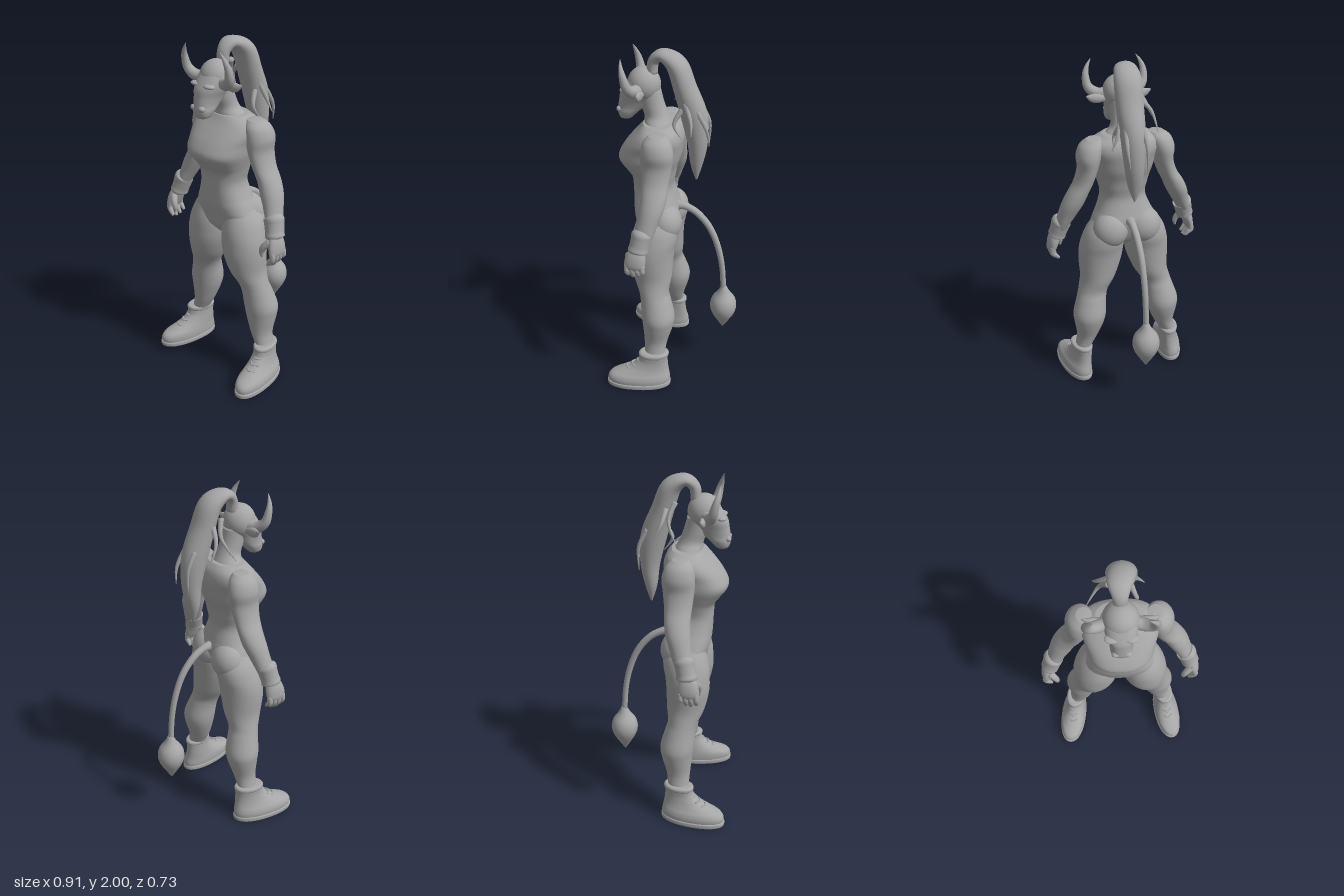
import * as THREE from 'three';

const skinGrey = new THREE.MeshStandardMaterial({ color: 0xa6a6a6 });
skinGrey.name = 'plain grey';

// smooth interpolation through rows of numbers
function smoothRows(rows, steps) {
  const out = [], n = rows.length;
  const at = i => rows[Math.max(0, Math.min(n - 1, i))];
  for (let i = 0; i < n - 1; i++) {
    for (let s = 0; s < steps; s++) {
      const t = s / steps, [a, b, c, d] = [at(i - 1), at(i), at(i + 1), at(i + 2)];
      out.push(b.map((v, k) => v + 0.5 * t * (c[k] - a[k]
        + t * (2 * a[k] - 5 * v + 4 * c[k] - d[k] + t * (3 * (v - c[k]) + d[k] - a[k])))));
    }
  }
  out.push(rows[n - 1].slice());
  return out;
}

// closed skin over rings of points, capped at both ends
function skin(rings) {
  const pos = [], idx = [], n = rings[0].length, last = rings.length - 1;
  for (const r of rings) for (const p of r) pos.push(p.x, p.y, p.z);
  for (let i = 0; i < last; i++) {
    for (let j = 0; j < n; j++) {
      const k = (j + 1) % n, a = i * n + j, b = i * n + k;
      idx.push(a, b, b + n, a, b + n, a + n);
    }
  }
  for (const e of [0, last]) {
    const c = new THREE.Vector3(), ci = pos.length / 3;
    rings[e].forEach(p => c.addScaledVector(p, 1 / n));
    pos.push(c.x, c.y, c.z);
    for (let j = 0; j < n; j++) {
      const a = e * n + j, b = e * n + (j + 1) % n;
      if (e === 0) idx.push(ci, b, a); else idx.push(ci, a, b);
    }
  }
  const g = new THREE.BufferGeometry();
  g.setAttribute('position', new THREE.Float32BufferAttribute(pos, 3));
  g.setIndex(idx);
  g.computeVertexNormals();
  return g;
}

// level rings, lowest first: [y, centre x, half width, front z, back z]
function loft(rows, side = 1, power = 2, sides = 32, shear = 0) {
  const pw = v => Math.sign(v) * Math.abs(v) ** (2 / power);
  return skin(smoothRows(rows, 5).map(([y, cx, hw, zf, zb]) =>
    Array.from({ length: sides }, (_, j) => {
      const t = j / sides * Math.PI * 2;
      const z = (zf + zb) / 2 - pw(Math.sin(t)) * (zf - zb) / 2;
      return new THREE.Vector3(side * (cx + shear * (z - 0.17)) + pw(Math.cos(t)) * hw, y, z);
    })));
}

// rings square to a path: [x, y, z, radius along ref, other radius]
function sweep(rows, side = 1, ref = new THREE.Vector3(1, 0, 0), sides = 16) {
  const r = smoothRows(rows.map(([x, y, z, a, b = a]) => [x * side, y, z, a, b]), 6);
  const p = r.map(q => new THREE.Vector3(q[0], q[1], q[2]));
  return skin(r.map((q, i) => {
    const T = p[Math.min(i + 1, p.length - 1)].clone().sub(p[Math.max(i - 1, 0)]).normalize();
    const S = ref.clone().addScaledVector(T, -ref.dot(T)).normalize();
    const B = T.clone().cross(S);
    return Array.from({ length: sides }, (_, j) => {
      const t = j / sides * Math.PI * 2;
      return p[i].clone().addScaledVector(S, q[3] * Math.cos(t)).addScaledVector(B, q[4] * Math.sin(t));
    });
  }));
}

function ball(x, y, z, rx, ry, rz) {
  return new THREE.SphereGeometry(1, 28, 20).scale(rx, ry, rz).translate(x, y, z);
}

export function createModel() {
  const model = new THREE.Group();
  model.name = 'hornedFigure';
  const add = (name, geo) => {
    const m = new THREE.Mesh(geo, skinGrey);
    m.name = name;
    model.add(m);
  };
  const Z = new THREE.Vector3(0, 0, 1);

  // torso and neck
  add('torso', loft([
    [0.90, 0, 0.05, 0.17, 0.07], [0.95, 0, 0.13, 0.21, 0.03], [1.02, 0, 0.20, 0.225, 0.0],
    [1.08, 0, 0.185, 0.238, -0.015], [1.14, 0, 0.155, 0.242, 0.0], [1.22, 0, 0.13, 0.245, 0.02],
    [1.29, 0, 0.142, 0.252, 0.01], [1.34, 0, 0.158, 0.285, 0.0], [1.40, 0, 0.178, 0.323, -0.02],
    [1.46, 0, 0.187, 0.298, -0.03], [1.52, 0, 0.20, 0.25, -0.035], [1.57, 0, 0.185, 0.205, -0.02],
    [1.605, 0, 0.12, 0.18, 0.01]
  ], 1, 2.4, 48));
  add('neck', loft([
    [1.55, 0, 0.14, 0.17, 0.0], [1.60, 0, 0.105, 0.178, 0.025], [1.64, 0, 0.07, 0.18, 0.045],
    [1.70, 0, 0.064, 0.2, 0.07], [1.78, 0, 0.064, 0.21, 0.09]
  ]));

  // head and muzzle
  add('skull', ball(0, 1.805, 0.18, 0.09, 0.095, 0.09));
  add('muzzle', loft([
    [1.608, 0, 0.03, 0.308, 0.255], [1.62, 0, 0.047, 0.318, 0.24], [1.65, 0, 0.057, 0.326, 0.21],
    [1.68, 0, 0.058, 0.323, 0.175], [1.72, 0, 0.066, 0.316, 0.14], [1.76, 0, 0.08, 0.308, 0.11],
    [1.80, 0, 0.084, 0.285, 0.11], [1.85, 0, 0.07, 0.25, 0.12], [1.88, 0, 0.035, 0.22, 0.14]
  ], 1, 2.3));

  // hair swept up from the crown and falling behind
  add('ponytail', sweep([
    [0, 1.87, 0.135, 0.035, 0.03], [0, 1.935, 0.125, 0.04, 0.03], [0, 1.968, 0.075, 0.06, 0.033],
    [0.01, 1.92, 0.0, 0.075, 0.055], [0.015, 1.8, -0.045, 0.075, 0.062], [0.015, 1.65, -0.095, 0.068, 0.072],
    [0.015, 1.5, -0.115, 0.056, 0.056], [0.01, 1.37, -0.11, 0.04, 0.035], [0.01, 1.27, -0.11, 0.005, 0.005]
  ], 1, undefined, 28));
  const strands = [
    [[-0.05, 1.86, 0.03], [-0.10, 1.77, 0.0], [-0.165, 1.66, 0.05]],
    [[-0.05, 1.82, -0.02], [-0.11, 1.75, -0.04], [-0.13, 1.65, -0.09]],
    [[0.07, 1.75, -0.05], [0.10, 1.65, -0.09], [0.135, 1.58, -0.1]],
    [[0.06, 1.72, -0.1], [0.07, 1.6, -0.17], [0.06, 1.5, -0.185]],
    [[-0.03, 1.7, -0.12], [-0.04, 1.6, -0.17], [-0.04, 1.47, -0.17]],
    [[0.06, 1.7, -0.04], [0.09, 1.62, 0.0], [0.10, 1.54, -0.05]]
  ];
  strands.forEach(s => add('hairStrand', sweep(s.map((p, i) => [...p, [0.016, 0.01, 0.002][i]]), 1, Z, 8)));

  // tail with tuft
  add('tail', sweep([
    [0, 1.09, 0.0, 0.03], [0, 1.085, -0.05, 0.022], [0, 1.045, -0.12, 0.02], [0, 0.96, -0.19, 0.019],
    [0, 0.84, -0.24, 0.018], [0, 0.70, -0.27, 0.017], [0, 0.54, -0.283, 0.017]
  ]));
  add('tailTuft', loft([
    [0.26, 0.004], [0.31, 0.034], [0.37, 0.068], [0.42, 0.08], [0.47, 0.07], [0.52, 0.036], [0.56, 0.016]
  ].map(([y, r]) => [y, 0, r, -0.285 + r, -0.285 - r])));

  for (const s of [1, -1]) {
    const n = s > 0 ? 'left' : 'right';

    // horn, ear, brow and nostril
    add(n + 'Horn', sweep([
      [0.06, 1.795, 0.195, 0.034], [0.115, 1.795, 0.215, 0.032], [0.158, 1.83, 0.235, 0.026],
      [0.166, 1.89, 0.25, 0.019], [0.153, 1.935, 0.262, 0.011], [0.13, 1.972, 0.27, 0.002]
    ], s, Z));
    add(n + 'Ear', sweep([
      [0.075, 1.775, 0.175, 0.014, 0.016], [0.12, 1.776, 0.18, 0.018, 0.026],
      [0.155, 1.783, 0.18, 0.014, 0.022], [0.186, 1.797, 0.175, 0.002, 0.003]
    ], s, Z));
    add(n + 'Brow', ball(s * 0.048, 1.782, 0.275, 0.036, 0.012, 0.026));
    add(n + 'Nostril', ball(s * 0.03, 1.665, 0.312, 0.02, 0.016, 0.017));

    // arm from shoulder to wrist
    add(n + 'Arm', loft([
      [0.99, 0.405, 0.033, 0.17, 0.1], [1.08, 0.372, 0.042, 0.165, 0.06], [1.15, 0.343, 0.053, 0.152, 0.035],
      [1.22, 0.313, 0.062, 0.145, 0.01], [1.28, 0.285, 0.06, 0.14, 0.0], [1.35, 0.247, 0.055, 0.145, -0.005],
      [1.43, 0.222, 0.057, 0.153, -0.015], [1.50, 0.215, 0.069, 0.155, -0.022],
      [1.56, 0.198, 0.066, 0.145, -0.005], [1.595, 0.18, 0.04, 0.115, 0.03]
    ], s));
    add(n + 'Cuff', sweep([
      [0.368, 1.105, 0.115, 0.044, 0.042], [0.372, 1.098, 0.117, 0.056, 0.056],
      [0.38, 1.07, 0.122, 0.054, 0.054], [0.392, 1.03, 0.13, 0.05, 0.053],
      [0.40, 1.005, 0.135, 0.05, 0.055], [0.403, 0.995, 0.136, 0.036, 0.04]
    ], s, undefined, 24));

    // hand with fingers and thumb
    add(n + 'Palm', sweep([
      [0.40, 1.02, 0.135, 0.03, 0.04], [0.418, 0.975, 0.143, 0.032, 0.055],
      [0.43, 0.93, 0.148, 0.026, 0.058], [0.43, 0.905, 0.148, 0.016, 0.05]
    ], s));
    for (let i = 0; i < 4; i++) {
      const z = 0.105 + i * 0.028, d = [0.02, 0.005, 0, 0.008][i];
      add(n + 'Finger', sweep([
        [0.43, 0.935, z, 0.017, 0.015], [0.435, 0.90, z, 0.017, 0.015],
        [0.42, 0.865 + d, z, 0.014], [0.40, 0.843 + d, z, 0.008]
      ], s, undefined, 12));
    }
    add(n + 'Thumb', sweep([
      [0.405, 0.985, 0.175, 0.022], [0.378, 0.955, 0.195, 0.019], [0.366, 0.925, 0.2, 0.015], [0.368, 0.895, 0.2, 0.007]
    ], s, undefined, 12));

    // hip and leg
    add(n + 'Buttock', ball(s * 0.1, 1.025, 0.05, 0.105, 0.11, 0.095));
    add(n + 'Leg', loft([
      [0.15, 0.292, 0.045, 0.14, 0.025], [0.22, 0.28, 0.048, 0.142, 0.02], [0.30, 0.253, 0.063, 0.147, 0.008],
      [0.40, 0.24, 0.09, 0.157, -0.022], [0.47, 0.235, 0.1, 0.165, -0.03], [0.56, 0.218, 0.09, 0.172, -0.006],
      [0.62, 0.2, 0.09, 0.185, 0.01], [0.70, 0.168, 0.105, 0.22, 0.0], [0.80, 0.15, 0.126, 0.24, -0.005],
      [0.88, 0.141, 0.132, 0.24, -0.012], [0.95, 0.132, 0.125, 0.234, -0.025],
      [1.02, 0.12, 0.108, 0.215, -0.02], [1.10, 0.1, 0.065, 0.185, 0.02]
    ], s));

    // shoe with sole, collar and laces
    add(n + 'Shoe', loft([
      [0.015, 0.318, 0.077, 0.352, -0.012], [0.05, 0.318, 0.08, 0.358, -0.015], [0.078, 0.315, 0.076, 0.34, -0.01],
      [0.10, 0.31, 0.068, 0.29, -0.005], [0.13, 0.305, 0.06, 0.225, 0.0], [0.17, 0.302, 0.055, 0.18, 0.003],
      [0.205, 0.302, 0.055, 0.168, 0.002], [0.225, 0.302, 0.054, 0.165, 0.004]
    ], s, 2.2, 32, 0.13));
    add(n + 'Sole', loft([
      [0.0, 0.319, 0.078, 0.355, -0.012], [0.006, 0.319, 0.083, 0.362, -0.018],
      [0.026, 0.319, 0.083, 0.363, -0.018], [0.032, 0.319, 0.077, 0.354, -0.011]
    ], s, 2.2, 32, 0.13));
    add(n + 'Collar', loft([
      [0.20, 0.302, 0.052, 0.162, 0.006], [0.21, 0.302, 0.059, 0.172, -0.003],
      [0.226, 0.302, 0.059, 0.172, -0.003], [0.234, 0.302, 0.05, 0.16, 0.008]
    ], s, 2.1, 32, 0.13));
    for (let i = 0; i < 3; i++) {
      const y = 0.118 + i * 0.024, z = 0.248 - i * 0.033, x = 0.318 - i * 0.005;
      add(n + 'Lace', sweep([
        [x - 0.032, y, z - 0.025, 0.005], [x, y + 0.004, z, 0.006], [x + 0.032, y, z - 0.025, 0.005]
      ], s, Z, 8));
    }
  }
  return model;
}
